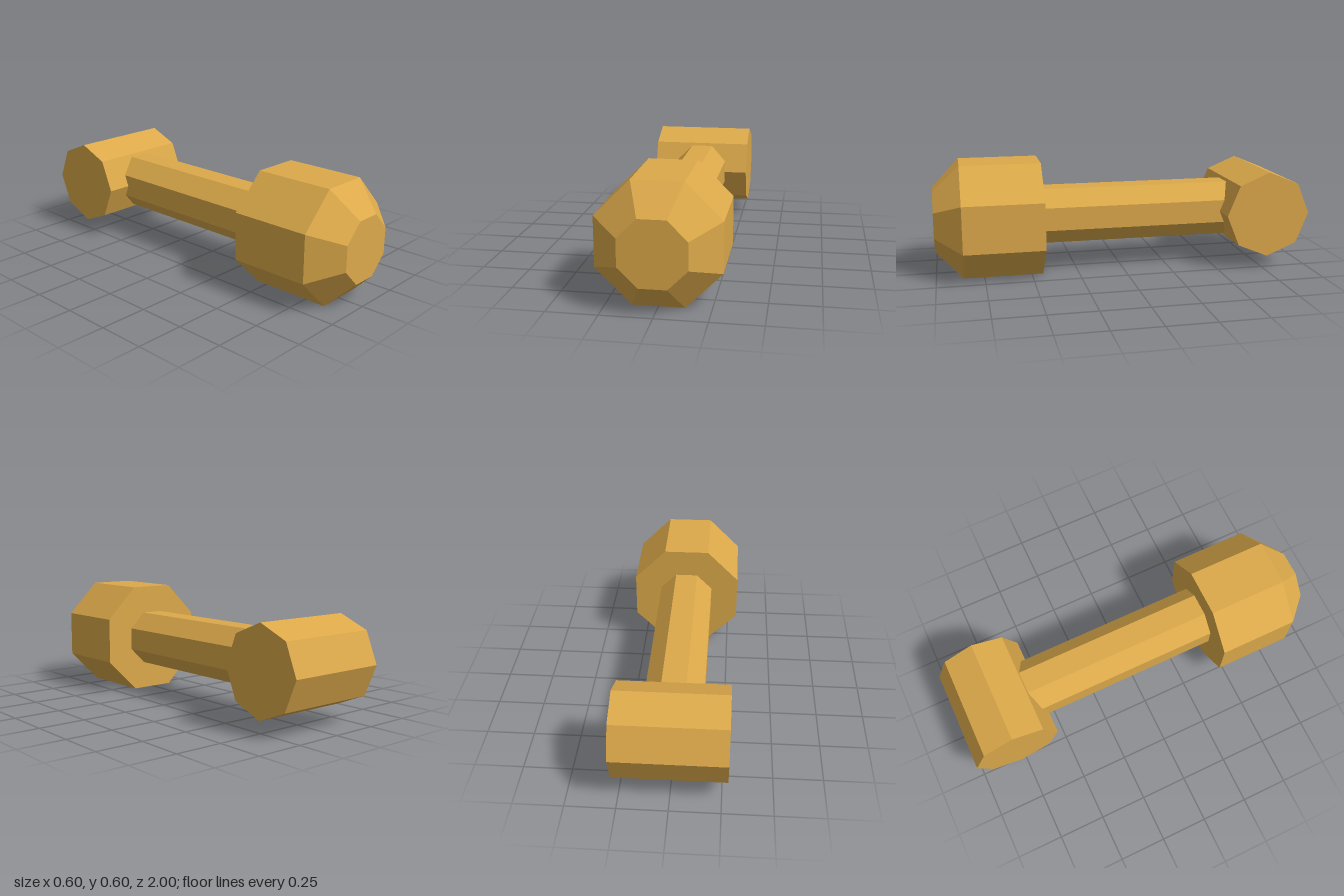
import * as THREE from 'three';

const SIDES = 8;
const AXIS_Y = 0.301;

export function createModel() {
  const model = new THREE.Group();
  model.name = 'mallet';

  const ochre = new THREE.MeshStandardMaterial({ color: 0xdca94a });
  ochre.name = 'ochre';
  ochre.flatShading = true;

  // Octagonal solid along z, flat sides up; profile is [apothem, z] from back to front
  const prismAlongZ = (name, profile) => {
    const toCorner = 1 / Math.cos(Math.PI / SIDES);
    const points = profile.map(([r, z]) => new THREE.Vector2(r * toCorner, z));
    const geometry = new THREE.LatheGeometry(points, SIDES, Math.PI / SIDES);
    geometry.rotateX(Math.PI / 2);
    const mesh = new THREE.Mesh(geometry, ochre);
    mesh.name = name;
    mesh.position.y = AXIS_Y;
    model.add(mesh);
  };

  // Front head with a bevelled nose
  prismAlongZ('head', [[0, 0.44], [0.3, 0.44], [0.3, 0.86], [0.161, 1], [0, 1]]);

  // Shaft, sunk into both ends
  prismAlongZ('shaft', [[0, -0.7], [0.148, -0.7], [0.148, 0.5], [0, 0.5]]);

  // Rear crossbar, lying along x with a corner on top
  const barGeometry = new THREE.CylinderGeometry(0.231, 0.231, 0.558, SIDES);
  barGeometry.rotateZ(Math.PI / 2);
  const crossbar = new THREE.Mesh(barGeometry, ochre);
  crossbar.name = 'crossbar';
  crossbar.position.set(0, AXIS_Y, -0.769);
  model.add(crossbar);

  return model;
}
